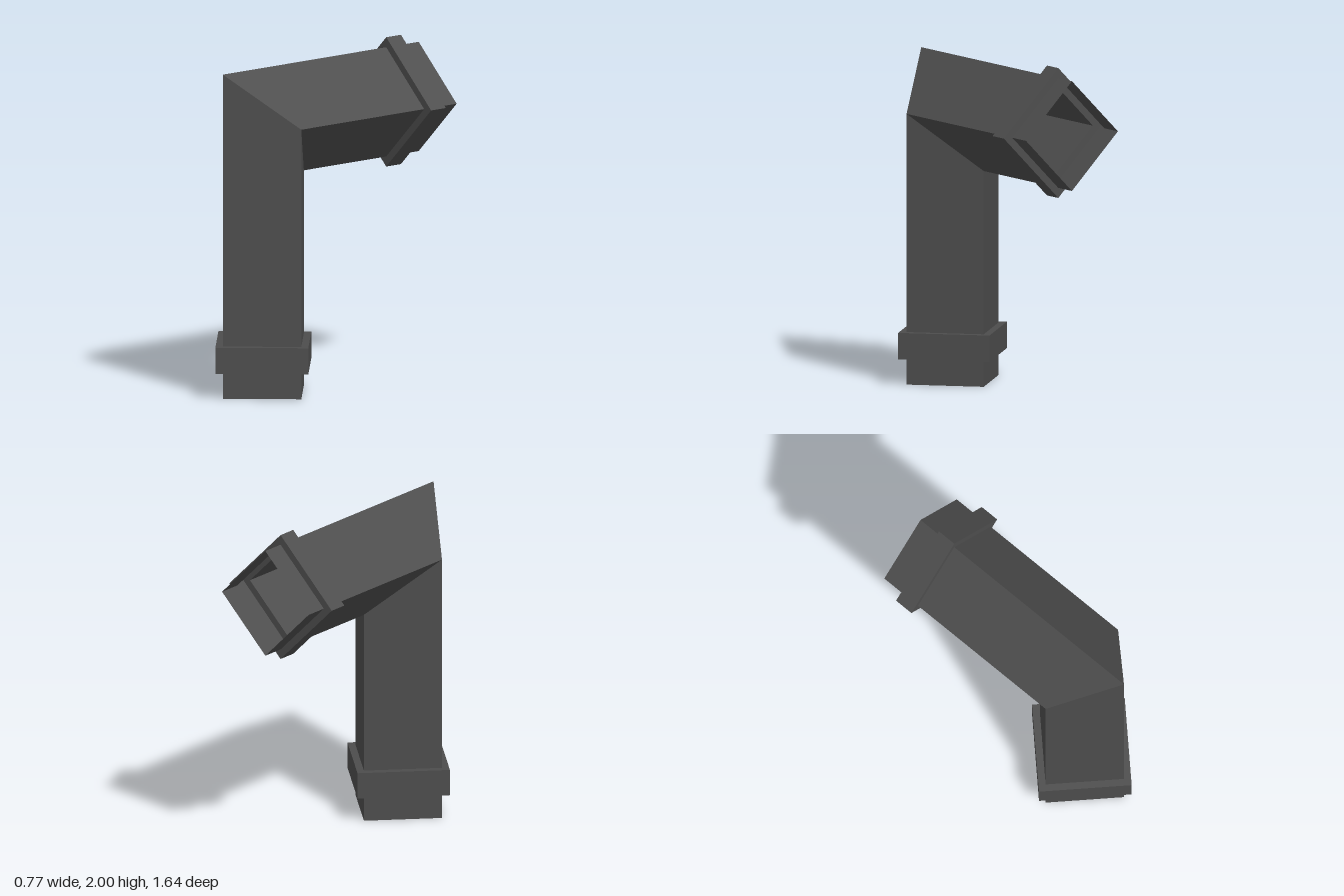
import * as THREE from 'three';

const AXIS_Z = 0.433;   // centre line of the upright pipe
const AXIS_Y = 1.613;   // centre line of the horizontal pipe
const PIPE = 0.327;     // half diagonals of the diamond sections
const COLLAR = 0.387;

// Diamond cross-sections: across the upright, at the mitre, across the horizontal
const section = (h, place) => [0, 1, 2, 3].map((k) => {
  const a = (k * Math.PI) / 2;
  return place(h * Math.cos(a), h * Math.sin(a));
});
const upright = (h, y) => section(h, (u, v) => [u, y, AXIS_Z + v]);
const mitre = (h) => section(h, (u, v) => [u, AXIS_Y + v, AXIS_Z + v]);
const level = (h, z) => section(h, (u, v) => [u, AXIS_Y + v, z]);

// Open four-sided shell through a run of sections
function shell(name, rings, material) {
  const pos = [];
  for (let i = 0; i < rings.length - 1; i++) {
    const a = rings[i], b = rings[i + 1];
    for (let k = 0; k < 4; k++) {
      const n = (k + 1) % 4;
      pos.push(...a[k], ...b[k], ...b[n], ...a[k], ...b[n], ...a[n]);
    }
  }
  const geometry = new THREE.BufferGeometry();
  geometry.setAttribute('position', new THREE.Float32BufferAttribute(pos, 3));
  geometry.computeVertexNormals();
  const mesh = new THREE.Mesh(geometry, material);
  mesh.name = name;
  return mesh;
}

export function createModel() {
  const group = new THREE.Group();
  group.name = 'elbowPipe';
  const metal = new THREE.MeshStandardMaterial({ color: 0x4d4d4d, side: THREE.DoubleSide });
  metal.name = 'dark grey metal';

  const y0 = 0.155, y1 = 0.313;     // lower collar
  const z0 = -0.558, z1 = -0.677;   // rear collar

  group.add(
    // Open lower mouth
    shell('lowerMouth', [upright(PIPE, 0), upright(PIPE, y0)], metal),
    // Collars are hollow steps in the pipe wall
    shell('lowerCollar', [upright(PIPE, y0), upright(COLLAR, y0), upright(COLLAR, y1), upright(PIPE, y1)], metal),
    // Mitred elbow
    shell('uprightPipe', [upright(PIPE, y1), mitre(PIPE)], metal),
    shell('horizontalPipe', [mitre(PIPE), level(PIPE, z0)], metal),
    shell('rearCollar', [level(PIPE, z0), level(COLLAR, z0), level(COLLAR, z1), level(PIPE, z1)], metal),
    // Open rear mouth
    shell('rearMouth', [level(PIPE, z1), level(PIPE, -0.82)], metal),
  );
  return group;
}
